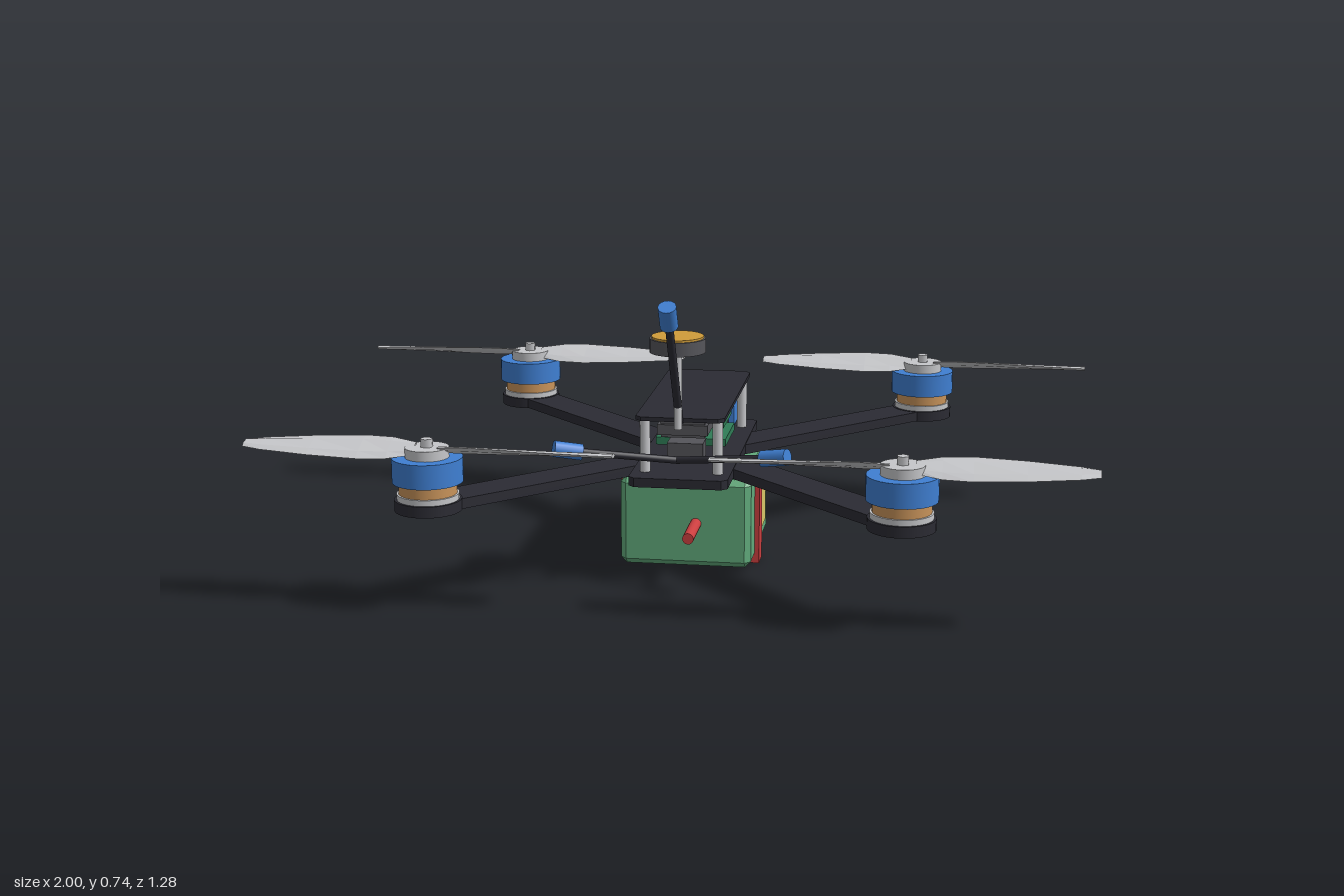
import * as THREE from 'three';
import { ConvexGeometry } from 'three/addons/geometries/ConvexGeometry.js';

const mat = (name, color) => Object.assign(new THREE.MeshStandardMaterial({ color }), { name });

export function createModel() {
  const carbon = mat('carbon black', 0x2b2b33);
  const blue = mat('anodised blue', 0x3f7fd2);
  const copper = mat('copper', 0xc8935a);
  const silver = mat('silver', 0xc6c7ca);
  const green = mat('battery green', 0x62ab7c);
  const board = mat('circuit green', 0x2f7d57);
  const red = mat('strap red', 0xcc3f40);
  const yellow = mat('label yellow', 0xd8c768);
  const gold = mat('ceramic gold', 0xcf9c3a);
  const grey = mat('housing grey', 0x55555a);

  const model = new THREE.Group();
  model.name = 'quadcopter';

  const add = (name, geometry, material, x = 0, y = 0, z = 0, parent = model) => {
    const mesh = new THREE.Mesh(geometry, material);
    mesh.name = name;
    mesh.position.set(x, y, z);
    parent.add(mesh);
    return mesh;
  };
  // Box given by centre x, z and its bottom and top heights
  const box = (name, m, w, d, y0, y1, x = 0, z = 0, parent = model) =>
    add(name, new THREE.BoxGeometry(w, y1 - y0, d), m, x, (y0 + y1) / 2, z, parent);
  // Upright cylinder given by its bottom and top heights
  const disc = (name, m, r, y0, y1, x = 0, z = 0, parent = model, sides = 32) =>
    add(name, new THREE.CylinderGeometry(r, r, y1 - y0, sides), m, x, (y0 + y1) / 2, z, parent);
  // Round rod between two points
  const rod = (name, m, r, from, to, sides = 16) => {
    const a = new THREE.Vector3(...from), b = new THREE.Vector3(...to);
    const mesh = add(name, new THREE.CylinderGeometry(r, r, a.distanceTo(b), sides), m);
    mesh.position.copy(a).lerp(b, 0.5);
    mesh.quaternion.setFromUnitVectors(new THREE.Vector3(0, 1, 0), b.sub(a).normalize());
    return mesh;
  };
  // Box with flat chamfers on every edge
  const chamferBox = (w, h, d, c) => {
    const points = [];
    for (const x of [-w / 2, w / 2]) for (const y of [-h / 2, h / 2]) for (const z of [-d / 2, d / 2]) {
      const [ix, iy, iz] = [x, y, z].map((v) => v - Math.sign(v) * c);
      points.push(new THREE.Vector3(x, iy, iz), new THREE.Vector3(ix, y, iz), new THREE.Vector3(ix, iy, z));
    }
    return new ConvexGeometry(points);
  };
  // Flat plate with clipped corners
  const plate = (name, w, d, y0, y1, z) => {
    const c = 0.015, a = w / 2, b = d / 2;
    const shape = new THREE.Shape([
      [-a + c, -b], [a - c, -b], [a, -b + c], [a, b - c], [a - c, b], [-a + c, b], [-a, b - c], [-a, -b + c],
    ].map(([x, y]) => new THREE.Vector2(x, y)));
    const geometry = new THREE.ExtrudeGeometry(shape, { depth: y1 - y0, bevelEnabled: false });
    geometry.rotateX(-Math.PI / 2);
    add(name, geometry, carbon, 0, y0, z);
  };

  // Propeller blade lofted along +x with a pitch that eases off to the tip
  const bladeGeometry = (spin) => {
    const stations = [[0.03, 0.05, 24], [0.09, 0.085, 23], [0.16, 0.1, 20], [0.28, 0.092, 16], [0.4, 0.066, 12], [0.444, 0.042, 10]];
    const section = [[0.5, 0], [0.25, 0.005], [-0.25, 0.005], [-0.5, 0], [-0.25, -0.005], [0.25, -0.005]];
    const n = section.length, positions = [], index = [];
    for (const [r, chord, degrees] of stations) {
      const p = spin * THREE.MathUtils.degToRad(degrees);
      for (const [u, t] of section) {
        const z = u * chord;
        positions.push(r, t * Math.cos(p) - z * Math.sin(p), z * Math.cos(p) + t * Math.sin(p));
      }
    }
    for (let i = 0; i < stations.length - 1; i++) for (let j = 0; j < n; j++) {
      const a = i * n + j, c = i * n + (j + 1) % n;
      index.push(a, a + n, c, a + n, c + n, c);
    }
    const tip = (stations.length - 1) * n;
    for (let j = 1; j < n - 1; j++) index.push(0, j, j + 1, tip, tip + j + 1, tip + j);
    const geometry = new THREE.BufferGeometry();
    geometry.setAttribute('position', new THREE.Float32BufferAttribute(positions, 3));
    geometry.setIndex(index);
    const flat = geometry.toNonIndexed();
    flat.computeVertexNormals();
    return flat;
  };

  // Four arms, each with a motor and propeller
  const M = 0.556;
  for (const sx of [-1, 1]) for (const sz of [-1, 1]) {
    const reach = M * Math.SQRT2;
    const arm = box('arm', carbon, reach, 0.1, 0.246, 0.271, sx * M / 2, sz * M / 2);
    arm.rotation.y = -Math.atan2(sz, sx);

    const motor = new THREE.Group();
    motor.name = 'motor';
    motor.position.set(sx * M, 0, sz * M);
    model.add(motor);
    disc('motorMount', carbon, 0.08, 0.245, 0.272, 0, 0, motor);
    disc('motorBase', silver, 0.074, 0.272, 0.286, 0, 0, motor);
    disc('motorWindings', copper, 0.069, 0.286, 0.315, 0, 0, motor);
    disc('motorBell', blue, 0.084, 0.314, 0.373, 0, 0, motor);
    disc('propellerHub', silver, 0.052, 0.373, 0.397, 0, 0, motor);
    disc('motorShaft', silver, 0.015, 0.39, 0.417, 0, 0, motor, 6);
    const blade = bladeGeometry(sx * sz);
    for (const turn of [0, Math.PI]) add('propellerBlade', blade, silver, 0, 0.391, 0, motor).rotation.y = turn;
  }

  // Frame plates and standoffs
  plate('bottomPlate', 0.245, 0.64, 0.25, 0.273, -0.005);
  plate('topPlate', 0.22, 0.55, 0.408, 0.418, 0.005);
  for (const x of [-0.09, 0.09]) for (const z of [-0.241, 0.246]) disc('standoff', silver, 0.013, 0.27, 0.409, x, z, model, 16);

  // Stacked circuit boards on a central mount
  disc('stackMount', carbon, 0.026, 0.27, 0.302);
  disc('mountPad', carbon, 0.042, 0.238, 0.25);
  box('lowerBoard', board, 0.178, 0.178, 0.301, 0.32);
  box('upperBoard', board, 0.165, 0.162, 0.346, 0.363);

  // Video transmitter with cooling ribs, and the receiver
  box('transmitter', grey, 0.125, 0.156, 0.362, 0.388, 0, 0.152);
  box('transmitterTop', grey, 0.11, 0.136, 0.388, 0.396, 0, 0.152);
  box('transmitterBase', grey, 0.11, 0.136, 0.354, 0.362, 0, 0.152);
  box('receiver', grey, 0.09, 0.062, 0.289, 0.331, 0, 0.156);

  // Tilted camera between two side plates
  for (const x of [-0.06, 0.06]) box('cameraBracket', blue, 0.016, 0.094, 0.272, 0.396, x, -0.299);
  const camera = new THREE.Group();
  camera.name = 'camera';
  camera.position.set(0, 0.338, -0.298);
  camera.rotation.x = THREE.MathUtils.degToRad(24);
  model.add(camera);
  box('cameraBody', carbon, 0.1, 0.07, -0.045, 0.045, 0, 0, camera);
  const lens = add('cameraLens', new THREE.CylinderGeometry(0.034, 0.034, 0.034, 24), carbon, 0, 0, -0.05, camera);
  lens.rotation.x = Math.PI / 2;
  const glass = add('lensGlass', new THREE.CylinderGeometry(0.022, 0.022, 0.004, 24), grey, 0, 0, -0.067, camera);
  glass.rotation.x = Math.PI / 2;

  // Positioning puck on a mast
  disc('mast', silver, 0.01, 0.396, 0.59, 0, 0.3, model, 16);
  disc('puck', grey, 0.068, 0.588, 0.622, 0, 0.3);
  disc('puckTop', gold, 0.063, 0.621, 0.627, 0, 0.3);

  // Antennas with blue tips
  rod('rearAntenna', carbon, 0.01, [0, 0.405, 0.272], [0, 0.685, 0.437]);
  rod('rearAntennaTip', blue, 0.022, [0, 0.675, 0.431], [0, 0.727, 0.462]);
  for (const s of [-1, 1]) {
    rod('sideAntenna', carbon, 0.009, [0, 0.322, 0.315], [s * 0.22, 0.358, 0.405]);
    rod('sideAntennaTip', blue, 0.02, [s * 0.217, 0.357, 0.404], [s * 0.28, 0.37, 0.43]);
  }

  // Battery with labels, strap and power lead
  add('battery', chamferBox(0.33, 0.227, 0.37, 0.015), green, 0, 0.125, 0.002);
  for (const s of [-1, 1]) box('batteryLabel', yellow, 0.006, 0.13, 0.056, 0.196, s * 0.166, -0.053);
  box('batteryStrap', red, 0.354, 0.06, 0, 0.246, 0, 0.066);
  rod('powerLead', red, 0.014, [0.027, 0.125, 0.18], [0.027, 0.125, 0.32]);

  return model;
}
